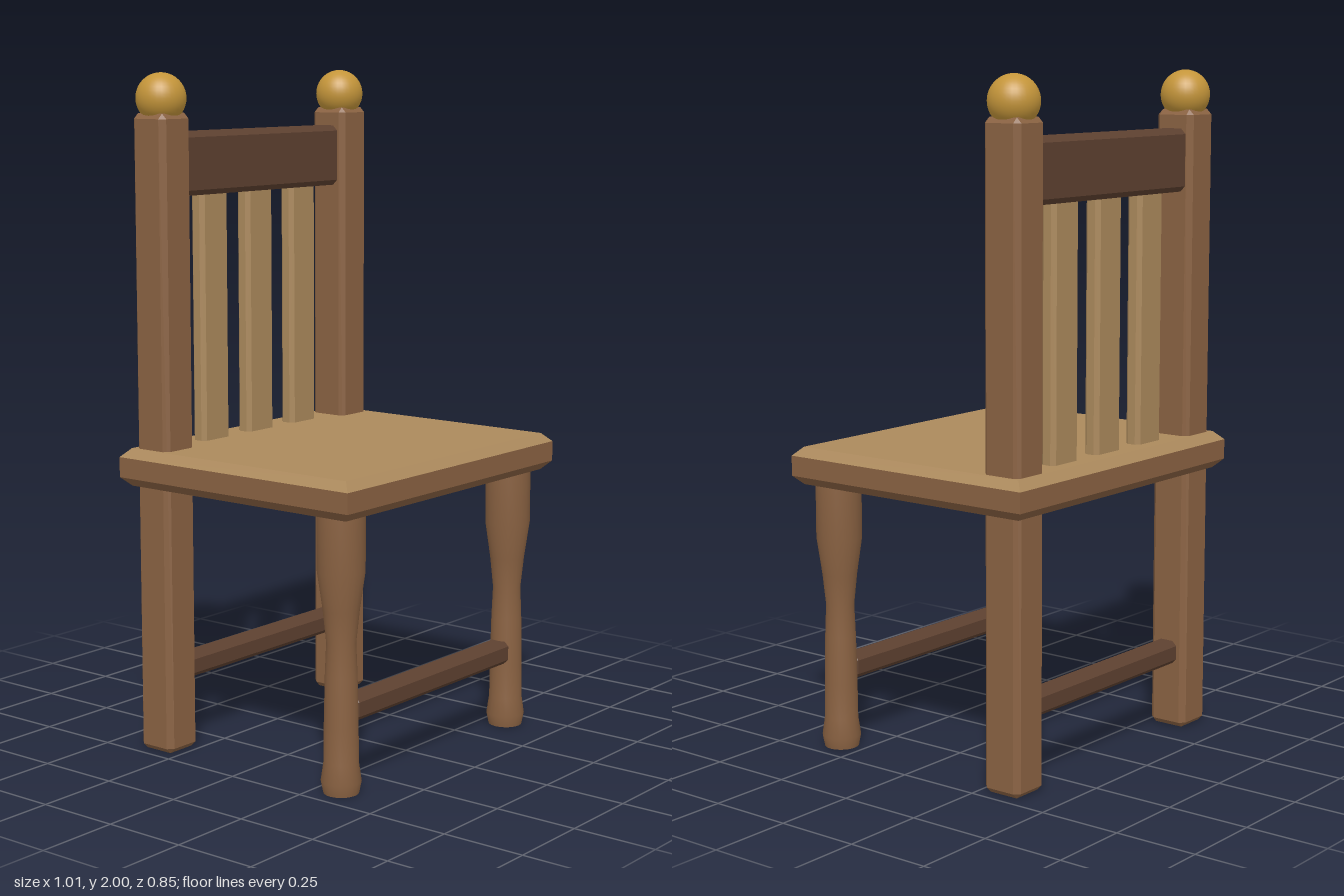
import * as THREE from 'three';
import { toCreasedNormals } from 'three/addons/utils/BufferGeometryUtils.js';
import { ConvexGeometry } from 'three/addons/geometries/ConvexGeometry.js';

const material = (name, color) => {
  const m = new THREE.MeshStandardMaterial({ color });
  m.name = name;
  return m;
};

// Box with every edge chamfered by b
function chamferedBox(w, h, d, b) {
  const points = [];
  for (const sx of [-1, 1]) for (const sy of [-1, 1]) for (const sz of [-1, 1]) {
    const x = w / 2, y = h / 2, z = d / 2;
    for (const [ix, iy, iz] of [[0, b, b], [b, 0, b], [b, b, 0]]) {
      points.push(new THREE.Vector3(sx * (x - ix), sy * (y - iy), sz * (z - iz)));
    }
  }
  return new ConvexGeometry(points);
}

// Seat slab: bevelled above and below, sharp upright corners.
// Material 0 goes on upward faces, material 1 on all others.
function seatGeometry(w, h, d, b) {
  const points = [];
  for (const sx of [-1, 1]) for (const sy of [-1, 1]) for (const sz of [-1, 1]) {
    points.push(new THREE.Vector3(sx * w / 2, sy * (h / 2 - b), sz * d / 2));
    points.push(new THREE.Vector3(sx * (w / 2 - b), sy * h / 2, sz * (d / 2 - b)));
  }
  const g = new ConvexGeometry(points);
  const normal = g.attributes.normal;
  for (let i = 0; i < normal.count; i += 3) g.addGroup(i, 3, normal.getY(i) > 0.1 ? 0 : 1);
  return g;
}

export function createModel() {
  const wood = material('mid wood', 0x8a6242);
  const darkWood = material('dark wood', 0x5e4130);
  const lightWood = material('light wood', 0xab895c);
  const gold = material('gold', 0xc4953a);

  const chair = new THREE.Group();
  chair.name = 'chair';
  const add = (name, geometry, mat, x, y, z) => {
    const mesh = new THREE.Mesh(geometry, mat);
    mesh.name = name;
    mesh.position.set(x, y, z);
    chair.add(mesh);
  };

  const legX = 0.41, frontZ = 0.328, backZ = -0.329;

  add('seat', seatGeometry(1.01, 0.112, 0.85, 0.026), [lightWood, wood], 0, 0.856, 0);

  // Turned front leg profile, bottom to top
  const profile = [
    [0, 0], [0.051, 0], [0.058, 0.035], [0.05, 0.09], [0.049, 0.2], [0.046, 0.34],
    [0.042, 0.435], [0.052, 0.53], [0.068, 0.64], [0.068, 0.81], [0, 0.81],
  ].map(([r, y]) => new THREE.Vector2(r, y));
  const legGeometry = toCreasedNormals(new THREE.LatheGeometry(profile, 20), 0.6);

  // Legs, back posts and ball finials on both sides
  const postGeometry = chamferedBox(0.125, 1.885, 0.125, 0.016);
  const ballGeometry = new THREE.SphereGeometry(0.073, 32, 20);
  for (const [side, s] of [['left', 1], ['right', -1]]) {
    add(side + 'FrontLeg', legGeometry, wood, s * legX, 0, frontZ);
    add(side + 'BackPost', postGeometry, wood, s * legX, 0.9425, backZ);
    add(side + 'Finial', ballGeometry, gold, s * legX, 1.927, backZ);
  }

  // Stretchers between the legs
  const stretcherGeometry = chamferedBox(0.77, 0.07, 0.07, 0.014);
  add('frontStretcher', stretcherGeometry, darkWood, 0, 0.237, frontZ);
  add('backStretcher', stretcherGeometry, darkWood, 0, 0.237, backZ);

  // Top rail and back slats
  add('topRail', chamferedBox(0.74, 0.185, 0.085, 0.016), darkWood, 0, 1.737, -0.331);
  const slatGeometry = chamferedBox(0.12, 0.76, 0.05, 0.012);
  for (const x of [-0.205, 0, 0.205]) add('backSlat', slatGeometry, lightWood, x, 1.28, -0.331);

  return chair;
}
